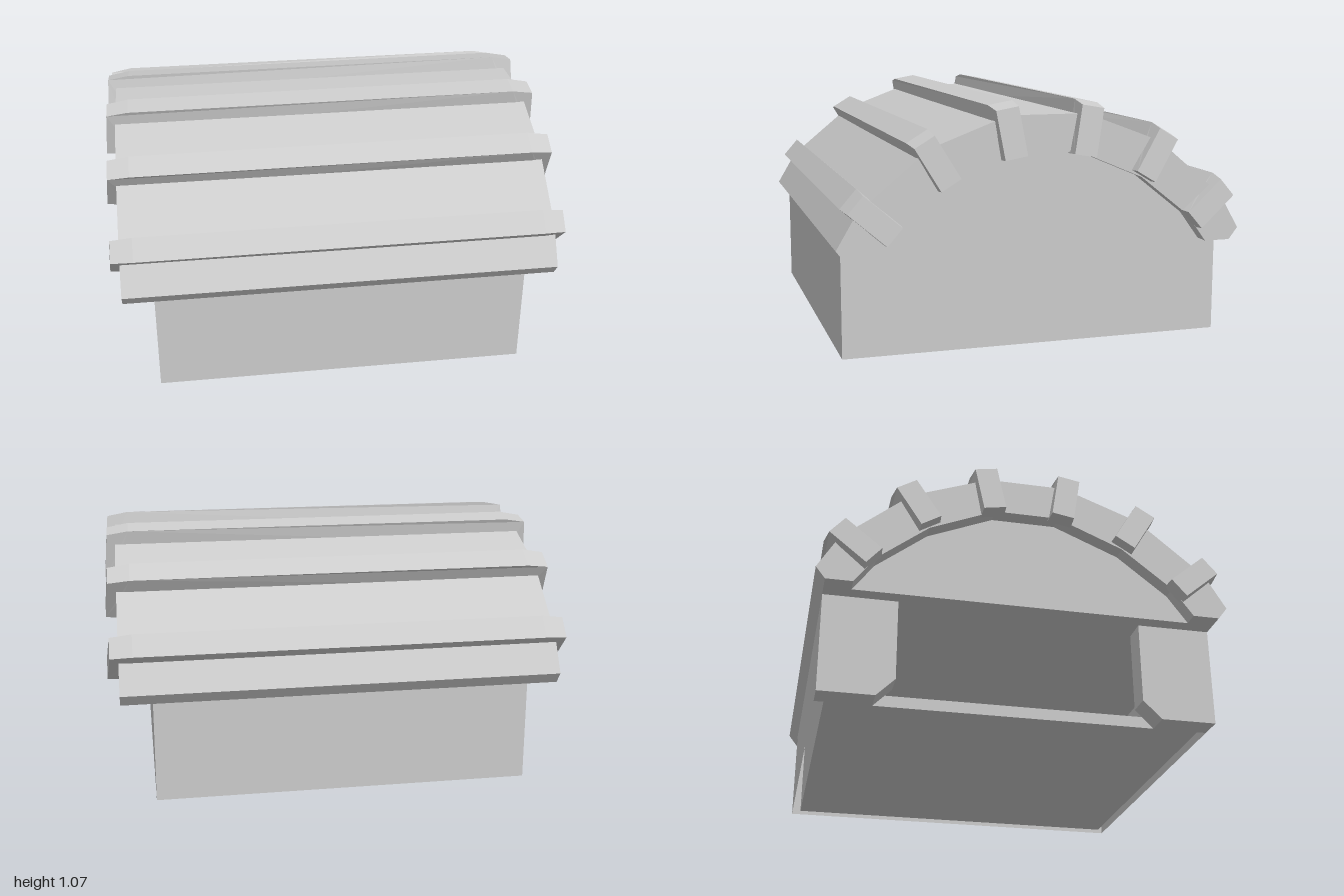
import * as THREE from 'three';

const grey = new THREE.MeshStandardMaterial({ color: 0xcccccc, flatShading: true, side: THREE.DoubleSide });

function add(parent, name, geometry, x = 0, y = 0, z = 0) {
  const mesh = new THREE.Mesh(geometry, grey);
  mesh.name = name;
  mesh.position.set(x, y, z);
  parent.add(mesh);
  return mesh;
}

const shapeOf = (points) => new THREE.Shape(points.map(([a, b]) => new THREE.Vector2(a, b)));

// Extrudes a (z, y) outline along x, centred on x = 0
function alongX(points, length) {
  const geo = new THREE.ExtrudeGeometry(shapeOf(points), { depth: length, bevelEnabled: false });
  return geo.translate(0, 0, -length / 2).rotateY(-Math.PI / 2);
}

// Completes a half outline with its mirror image
const mirrored = (half) => [...half, ...half.map(([a, b]) => [-a, b]).reverse()];

// Rib bar with bevelled tops, legs that clasp the roof ends and slightly narrowed tips
function ribGeometry() {
  const outline = mirrored([[0.93, 0.1], [0.93, -0.012], [1, -0.008], [0.985, 0.198], [0.89, 0.215]]);
  const geo = new THREE.ExtrudeGeometry(shapeOf(outline), { depth: 0.106, bevelEnabled: false });
  geo.translate(0, 0, -0.053);
  const p = geo.attributes.position;
  for (let i = 0; i < p.count; i++) {
    if (Math.abs(p.getX(i)) > 0.95) p.setZ(i, p.getZ(i) * 0.92);
  }
  geo.computeVertexNormals();
  return geo;
}

export function createModel() {
  const model = new THREE.Group();
  const W = 0.815, D = 0.85, H = 0.438;

  // Outer walls, open underneath
  for (const s of [1, -1]) {
    add(model, s > 0 ? 'frontWall' : 'backWall', new THREE.PlaneGeometry(2 * W, H), 0, H / 2, s * D)
      .rotation.y = s > 0 ? 0 : Math.PI;
  }
  add(model, 'closedEndWall', new THREE.PlaneGeometry(2 * D, H), W, H / 2, 0).rotation.y = Math.PI / 2;

  // Open end: two posts with chamfered feet
  for (const s of [1, -1]) {
    const post = [[D, H], [D, 0], [0.61, 0], [0.53, 0.08], [0.53, H]].map(([z, y]) => [s * z, y]);
    add(model, 'doorPost', alongX(post, 0.11), -W + 0.055);
  }

  // Inner room: floor slab and lining walls
  const x0 = -0.705, x1 = 0.755, zIn = 0.81, mid = (x0 + x1) / 2;
  add(model, 'floor', new THREE.BoxGeometry(x1 - x0, 0.05, 2 * zIn), mid, 0.025, 0);
  for (const s of [1, -1]) {
    add(model, 'sideLining', new THREE.PlaneGeometry(x1 - x0, H - 0.05), mid, (H + 0.05) / 2, s * zIn)
      .rotation.y = s > 0 ? Math.PI : 0;
  }
  add(model, 'endLining', new THREE.PlaneGeometry(2 * zIn, H - 0.05), x1, (H + 0.05) / 2, 0)
    .rotation.y = -Math.PI / 2;

  // Faceted barrel roof, with gables that overhang the end walls
  const outer = [[0.85, H], [0.89, 0.49], [0.8, 0.642], [0.505, 0.886], [0.17, 1.012]];
  const inner = [[0.735, H], [0.645, 0.56], [0.425, 0.733], [0.14, 0.853]];
  add(model, 'roof', alongX([...mirrored(outer), ...mirrored(inner).reverse()], 1.9));
  add(model, 'gables', alongX(mirrored(inner), 1.76));

  // Roof ribs, three on each slope
  const ribGeo = ribGeometry();
  const ribs = [[0.152, 0.848, 10], [0.43, 0.748, 31], [0.665, 0.547, 49]];
  for (const s of [1, -1]) {
    for (const [z, y, tilt] of ribs) {
      add(model, 'roofRib', ribGeo, 0, y, s * z).rotation.x = s * THREE.MathUtils.degToRad(tilt);
    }
  }
  return model;
}
